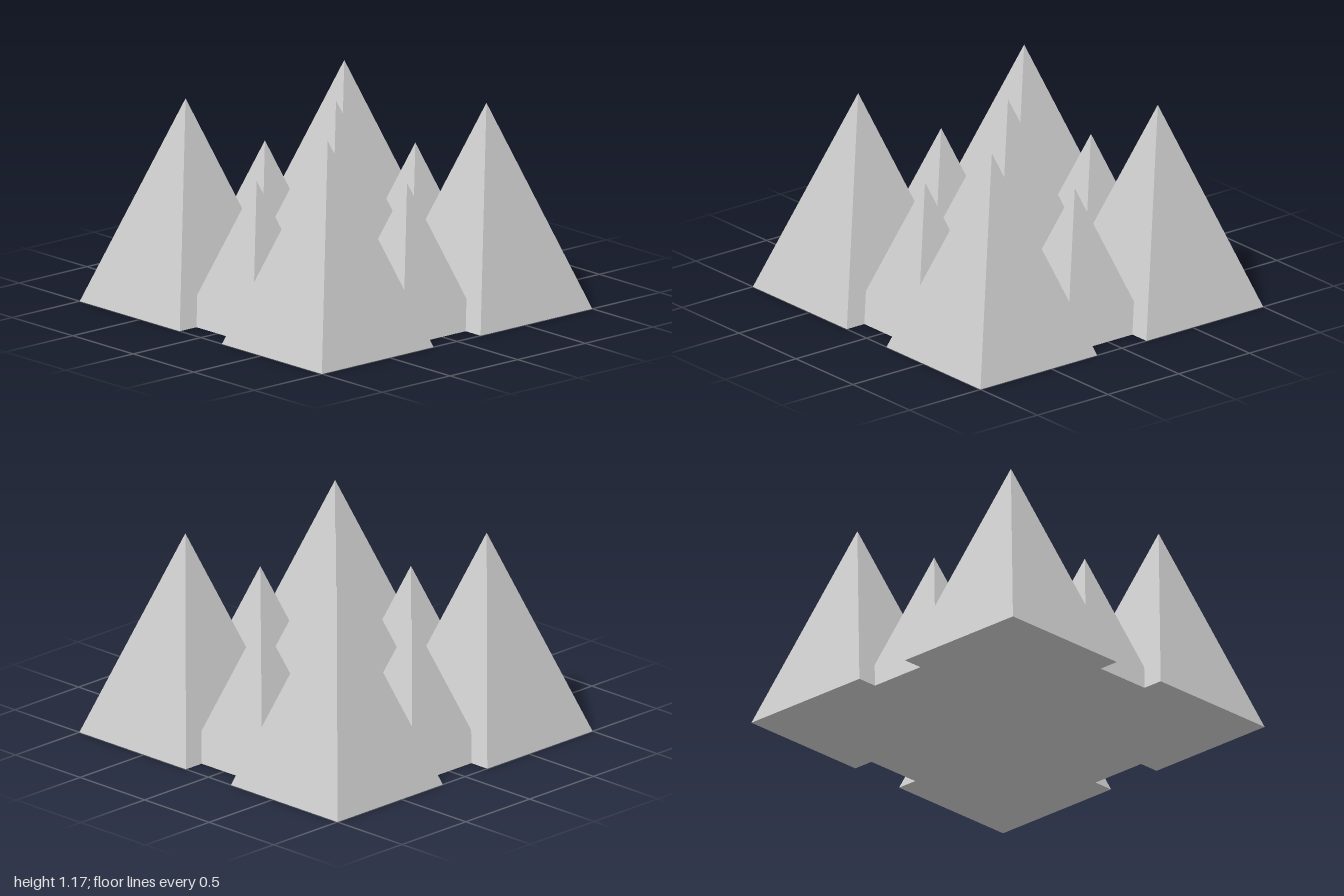
import * as THREE from 'three';

const SPACING = 0.587; // distance between neighbouring apexes
const SLOPE = 0.413 / 1.17; // half base width per unit of height

// Flat-faced square pyramid standing on y = 0
function pyramidGeometry(height) {
  const radius = height * SLOPE * Math.SQRT2;
  const geometry = new THREE.ConeGeometry(radius, height, 4, 1)
    .rotateY(Math.PI / 4)
    .translate(0, height / 2, 0)
    .toNonIndexed();
  geometry.computeVertexNormals();
  return geometry;
}

export function createModel() {
  const model = new THREE.Group();
  model.name = 'pyramidCluster';

  const grey = new THREE.MeshStandardMaterial({ color: 0xcccccc });
  grey.name = 'light grey';

  const tall = pyramidGeometry(1.17);
  const short = pyramidGeometry(0.82);

  // Tall pyramids at the corners and centre, short ones between them
  for (let row = -1; row <= 1; row++) {
    for (let col = -1; col <= 1; col++) {
      const isShort = (row + col) % 2 !== 0;
      const pyramid = new THREE.Mesh(isShort ? short : tall, grey);
      pyramid.name = isShort ? 'shortPyramid' : row === 0 ? 'centrePyramid' : 'cornerPyramid';
      pyramid.position.set(col * SPACING, 0, row * SPACING);
      model.add(pyramid);
    }
  }
  return model;
}
